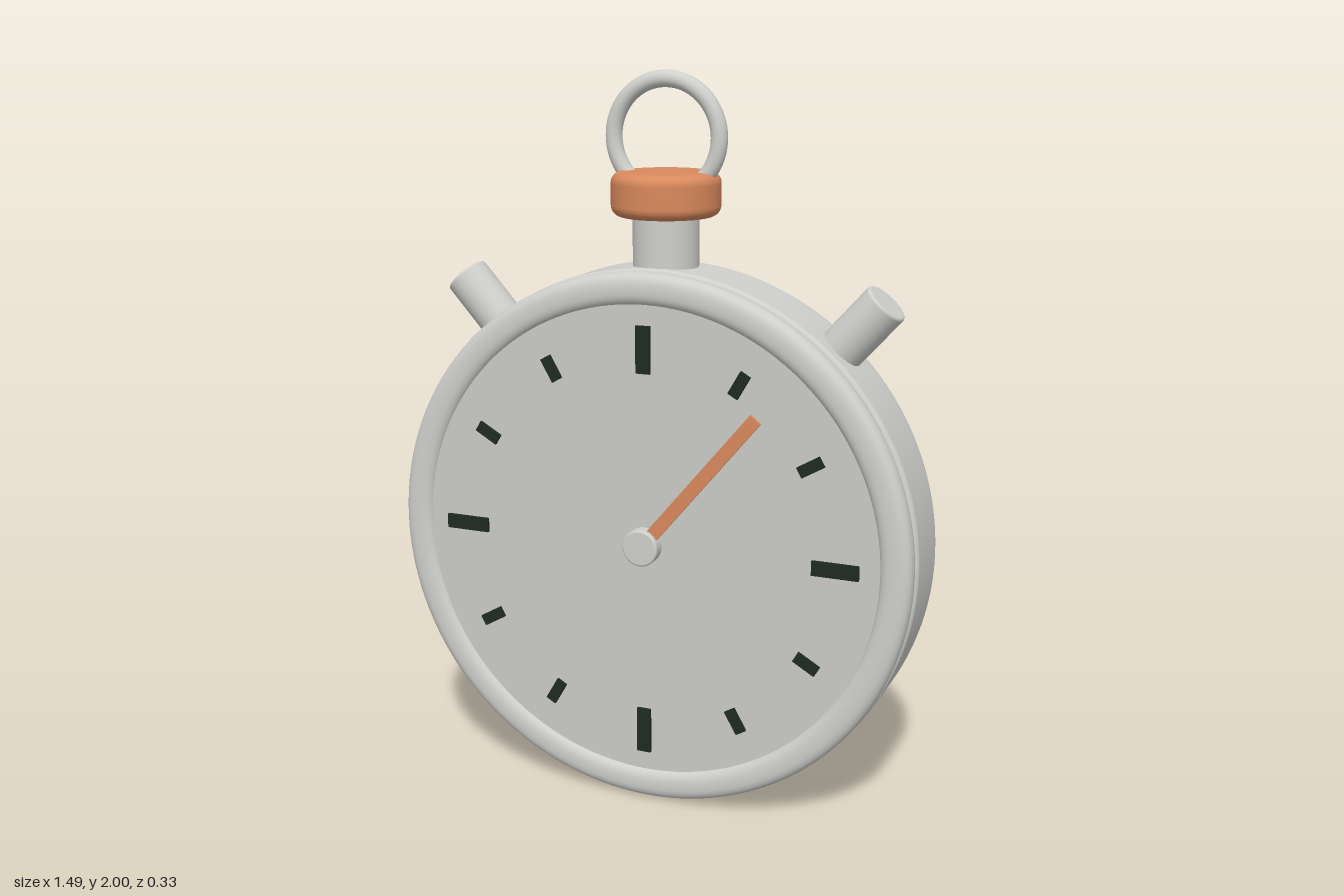
import * as THREE from 'three';

const mat = (name, color) => {
  const m = new THREE.MeshStandardMaterial({ color });
  m.name = name;
  return m;
};

// Solid disc along +y with rounded lower and upper rims
function roundedDisc(r, y0, y1, r0, r1, segments = 96) {
  const p = [new THREE.Vector2(0, y0), new THREE.Vector2(r - r0 - 0.004, y0)];
  const steps = 8;
  for (let i = 0; i <= steps; i++) {
    const a = (i / steps) * Math.PI / 2;
    p.push(new THREE.Vector2(r - r0 + r0 * Math.sin(a), y0 + r0 - r0 * Math.cos(a)));
  }
  for (let i = 0; i <= steps; i++) {
    const a = (i / steps) * Math.PI / 2;
    p.push(new THREE.Vector2(r - r1 + r1 * Math.cos(a), y1 - r1 + r1 * Math.sin(a)));
  }
  p.push(new THREE.Vector2(r - r1 - 0.004, y1), new THREE.Vector2(0, y1));
  return new THREE.LatheGeometry(p, segments);
}

export function createModel() {
  const metal = mat('brushedMetal', 0xcfcfcc);
  const dial = mat('dialGrey', 0xcacac7);
  const copper = mat('copper', 0xd9895c);
  const dark = mat('darkGreen', 0x1f2a24);

  const R = 0.746, CY = 0.746, ZC = -0.021;
  const model = new THREE.Group();
  model.name = 'stopwatch';
  const add = (parent, name, geometry, material, x = 0, y = 0, z = 0) => {
    const mesh = new THREE.Mesh(geometry, material);
    mesh.name = name;
    mesh.position.set(x, y, z);
    parent.add(mesh);
    return mesh;
  };

  // Everything round the dial is placed relative to its centre
  const watch = new THREE.Group();
  watch.name = 'watchBody';
  watch.position.y = CY;
  model.add(watch);

  // Case with soft back edge
  add(watch, 'case', roundedDisc(R, -0.155, 0.084, 0.065, 0.015, 128), metal).rotation.x = Math.PI / 2;

  // Bezel: squarish oval section swept round the dial
  const section = [];
  for (let i = 0; i <= 28; i++) {
    const a = (i / 28) * Math.PI * 2, c = Math.cos(a), s = Math.sin(a);
    section.push(new THREE.Vector2(
      0.699 + 0.044 * Math.sign(c) * Math.abs(c) ** 0.8,
      0.113 + 0.035 * Math.sign(s) * Math.abs(s) ** 0.8));
  }
  add(watch, 'bezel', new THREE.LatheGeometry(section, 128), metal).rotation.x = Math.PI / 2;

  // Dial plate
  const faceZ = 0.132;
  const plate = new THREE.CylinderGeometry(0.668, 0.668, 0.05, 96);
  add(watch, 'dialPlate', plate, dial, 0, 0, faceZ - 0.025).rotation.x = Math.PI / 2;

  // Hour marks: long at the quarters, short between
  for (let i = 0; i < 12; i++) {
    const major = i % 3 === 0, a = i * Math.PI / 6, d = 0.54;
    const g = new THREE.BoxGeometry(major ? 0.04 : 0.031, major ? 0.128 : 0.07, 0.009);
    add(watch, major ? 'quarterMark' : 'hourMark', g, dark,
      Math.sin(a) * d, Math.cos(a) * d, faceZ + 0.0045).rotation.z = -a;
  }

  // Hand and hub
  const ha = 39.8 * Math.PI / 180;
  add(watch, 'hand', new THREE.BoxGeometry(0.036, 0.5, 0.01), copper,
    Math.sin(ha) * 0.25, Math.cos(ha) * 0.25, 0.148).rotation.z = -ha;
  add(watch, 'hub', roundedDisc(0.051, 0.125, 0.167, 0.004, 0.006, 40), metal).rotation.x = Math.PI / 2;

  // Side push buttons, mirrored
  for (const side of [-1, 1]) {
    const a = side * 41.9 * Math.PI / 180;
    add(watch, side > 0 ? 'leftButton' : 'rightButton',
      roundedDisc(0.062, 0.66, 0.917, 0.004, 0.008, 40), metal, 0, 0, ZC).rotation.z = -a;
  }

  // Stem, crown and hanging ring
  add(model, 'stem', new THREE.CylinderGeometry(0.089, 0.089, 0.22, 48), metal, 0, 1.54, ZC);
  add(model, 'crown', roundedDisc(0.147, 1.62, 1.738, 0.03, 0.03, 64), copper, 0, 0, ZC);
  add(model, 'ring', new THREE.TorusGeometry(0.15, 0.0225, 20, 72), metal, 0, 1.8275, ZC);

  return model;
}
